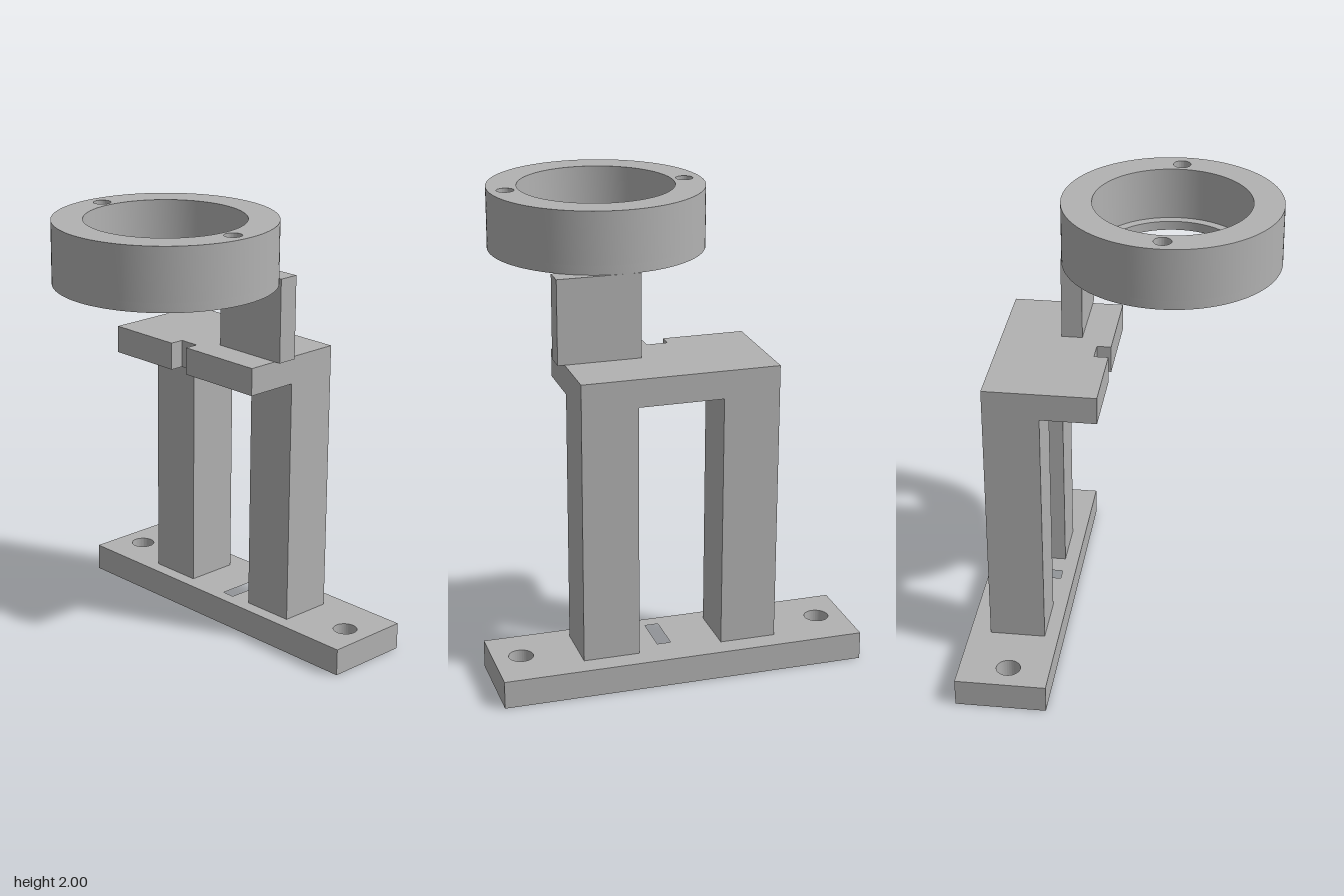
import * as THREE from 'three';
import { toCreasedNormals } from 'three/addons/utils/BufferGeometryUtils.js';

const gray = new THREE.MeshStandardMaterial({ color: 0xb2b2b2 });
gray.name = 'plain gray';

// Plan coordinates are (x, z); shapes are drawn with y = -z and then laid flat.
const outline = (points, Type = THREE.Path) =>
  new Type(points.map(([x, z]) => new THREE.Vector2(x, -z)));
const rect = (x0, x1, z0, z1) => [[x0, z0], [x1, z0], [x1, z1], [x0, z1]];
const circle = (x, z, r, Type = THREE.Path) => new Type().absarc(x, -z, r, 0, Math.PI * 2, false);

function slab(name, shape, y0, y1, holes = []) {
  shape.holes.push(...holes);
  const raw = new THREE.ExtrudeGeometry(shape, { depth: y1 - y0, bevelEnabled: false, curveSegments: 64 });
  raw.rotateX(-Math.PI / 2).translate(0, y0, 0);
  const mesh = new THREE.Mesh(toCreasedNormals(raw, 0.5), gray);
  mesh.name = name;
  return mesh;
}

function block(name, x0, x1, y0, y1, z0, z1) {
  const geometry = new THREE.BoxGeometry(x1 - x0, y1 - y0, z1 - z0);
  geometry.translate((x0 + x1) / 2, (y0 + y1) / 2, (z0 + z1) / 2);
  const mesh = new THREE.Mesh(geometry, gray);
  mesh.name = name;
  return mesh;
}

export function createModel() {
  const model = new THREE.Group();
  model.name = 'ringStand';

  // Base with two screw holes and a small slot between the legs
  model.add(slab('base', outline(rect(0.25, 0.648, -0.795, 0.795), THREE.Shape), 0, 0.122, [
    circle(0.433, -0.673, 0.053),
    circle(0.433, 0.673, 0.053),
    outline(rect(0.31, 0.495, 0.025, 0.085)),
  ]));

  // Two square legs
  model.add(block('frontLeg', 0.312, 0.556, 0.122, 1.238, 0.184, 0.428));
  model.add(block('backLeg', 0.312, 0.556, 0.122, 1.238, -0.428, -0.184));

  // Shelf across the legs, with a notch in its overhanging edge
  model.add(slab('shelf', outline([
    [0.068, -0.428], [0.556, -0.428], [0.556, 0.428], [0.068, 0.428],
    [0.068, 0.023], [0.13, 0.023], [0.13, -0.07], [0.068, -0.07],
  ], THREE.Shape), 1.238, 1.36));

  // Upright plate carrying the ring
  model.add(block('upright', 0.204, 0.295, 1.36, 1.73, 0.095, 0.458));

  // Ring: wide bore above a narrow retaining lip, with two through holes
  const [cx, cz] = [-0.178, 0.158];
  for (const [name, bore, y0, y1] of [['ringLip', 0.3, 1.73, 1.77], ['ringBody', 0.341, 1.77, 2]]) {
    model.add(slab(name, circle(cx, cz, 0.473, THREE.Shape), y0, y1, [
      circle(cx, cz, bore),
      circle(cx, cz - 0.398, 0.038),
      circle(cx, cz + 0.398, 0.038),
    ]));
  }
  return model;
}
